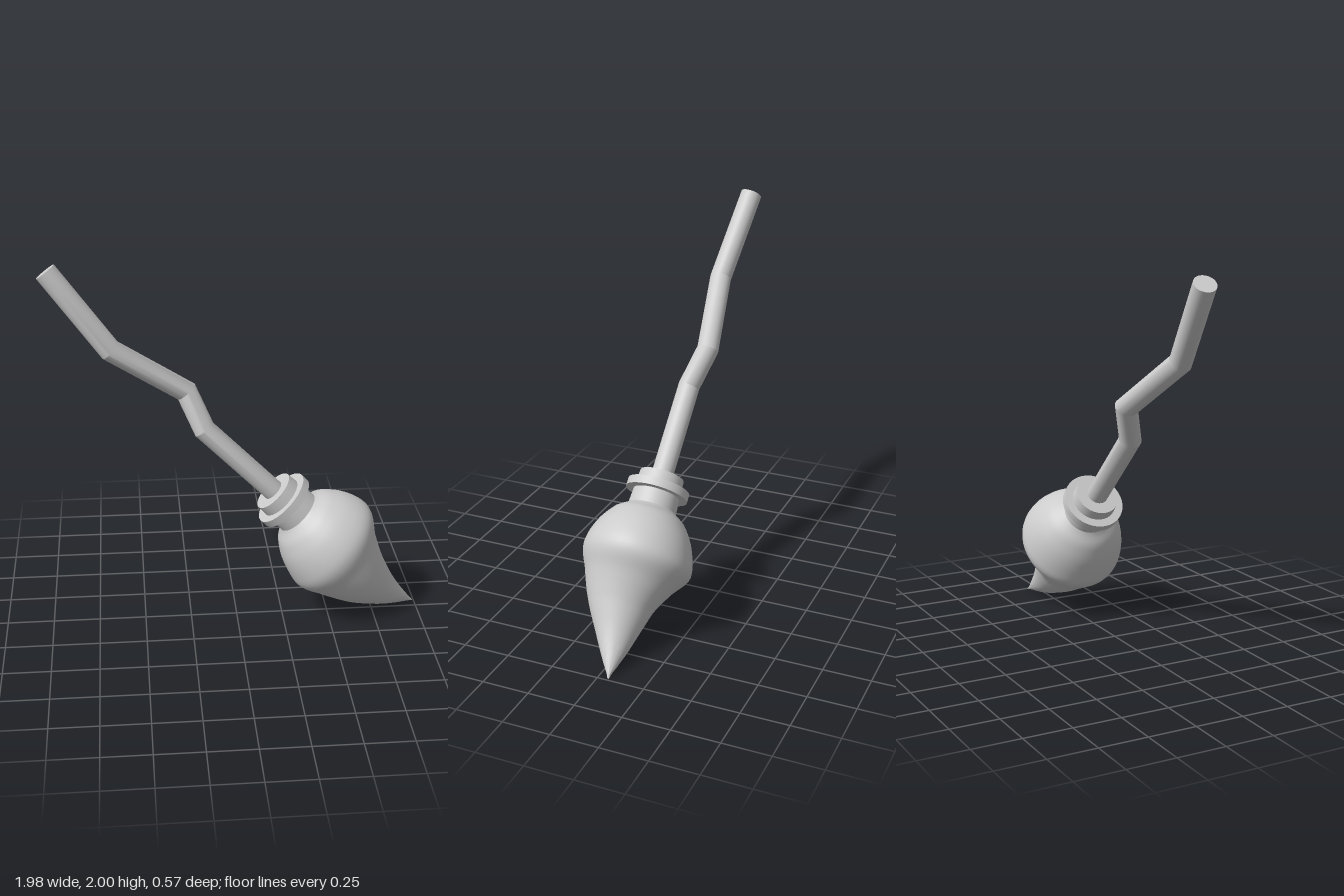
import * as THREE from 'three';
import { toCreasedNormals } from 'three/addons/utils/BufferGeometryUtils.js';

const V = (x, y, z) => new THREE.Vector3(x, y, z);
const material = new THREE.MeshStandardMaterial({ color: 0xcccccc });

// Skin a list of equal-sized rings and close both ends
function loft(rings) {
  const n = rings[0].length, pos = [], idx = [];
  rings.forEach(r => r.forEach(p => pos.push(p.x, p.y, p.z)));
  for (let i = 0; i < rings.length - 1; i++) {
    for (let j = 0; j < n; j++) {
      const k = (j + 1) % n, a = i * n, b = a + n;
      idx.push(a + j, a + k, b + k, a + j, b + k, b + j);
    }
  }
  const cap = (ring, base, flip) => {
    const c = ring.reduce((s, p) => s.add(p), V(0, 0, 0)).divideScalar(n);
    const m = pos.length / 3;
    pos.push(c.x, c.y, c.z);
    for (let j = 0; j < n; j++) {
      const k = (j + 1) % n;
      idx.push(m, base + (flip ? k : j), base + (flip ? j : k));
    }
  };
  cap(rings[0], 0, true);
  cap(rings[rings.length - 1], (rings.length - 1) * n, false);
  const g = new THREE.BufferGeometry();
  g.setAttribute('position', new THREE.Float32BufferAttribute(pos, 3));
  g.setIndex(idx);
  return g;
}

// Round rod along a bent path, mitred at each bend
function mitredRod(path, radius, sides) {
  const dirs = path.slice(1).map((p, i) => p.clone().sub(path[i]).normalize());
  const u = V(0, 0, 1).cross(dirs[0]).normalize();
  const v = dirs[0].clone().cross(u);
  let ring = Array.from({ length: sides }, (_, j) => {
    const a = j / sides * Math.PI * 2;
    return path[0].clone().addScaledVector(u, radius * Math.cos(a)).addScaledVector(v, radius * Math.sin(a));
  });
  const rings = [ring];
  for (let i = 1; i < path.length; i++) {
    const d = dirs[i - 1];
    const normal = d.clone().add(dirs[i] || d).normalize();
    ring = ring.map(p => {
      const t = path[i].clone().sub(p).dot(normal) / d.dot(normal);
      return p.clone().addScaledVector(d, t);
    });
    rings.push(ring);
  }
  return loft(rings);
}

// Swollen bundle with a swept tip: [along, offset x, offset z, radius]
function bristleGeometry() {
  const keys = [
    [0.18, 0, 0, 0.122], [0.23, 0, 0, 0.187], [0.31, 0, 0, 0.243], [0.41, 0.002, 0, 0.28],
    [0.485, 0.012, 0, 0.283], [0.57, 0.024, 0.018, 0.234], [0.68, 0.03, 0.03, 0.181],
    [0.76, 0.03, 0.022, 0.148], [0.85, 0.022, 0.004, 0.109], [0.93, 0.008, -0.014, 0.075],
    [1.01, -0.015, -0.034, 0.038], [1.085, -0.04, -0.055, 0.004]
  ];
  const centres = new THREE.CatmullRomCurve3(keys.map(k => V(k[1], k[0], k[2])));
  const radii = new THREE.SplineCurve(keys.map(k => new THREE.Vector2(k[3], k[0])));
  const rows = 44, sides = 48, rings = [];
  for (let i = 0; i <= rows; i++) {
    const c = centres.getPoint(i / rows), r = Math.max(radii.getPoint(i / rows).x, 0.003);
    rings.push(Array.from({ length: sides }, (_, j) => {
      const a = j / sides * Math.PI * 2;
      return V(c.x + r * Math.sin(a), c.y, c.z + r * Math.cos(a));
    }));
  }
  return loft(rings);
}

export function createModel() {
  const model = new THREE.Group();
  model.name = 'broom';
  const add = (parent, name, geometry) => {
    const mesh = new THREE.Mesh(geometry, material);
    mesh.name = name;
    parent.add(mesh);
    return mesh;
  };

  // Crooked handle
  const path = [V(-0.945, 1.965, -0.045), V(-0.64, 1.565, 0.012), V(-0.255, 1.295, -0.07),
    V(-0.168, 1.108, 0), V(0.265, 0.673, 0)];
  add(model, 'handle', toCreasedNormals(mitredRod(path, 0.057, 32), 0.35));

  // Head, built along its own y axis and tipped down to the right
  const head = new THREE.Group();
  head.name = 'head';
  head.position.set(0.195, 0.74, 0);
  head.rotation.z = -Math.PI * 0.75;
  model.add(head);

  // Binding: sleeve with a wider ring around it, [name, start, end, start radius, end radius]
  for (const [name, y0, y1, r0, r1] of [
    ['bindingSleeve', 0, 0.2, 0.117, 0.128],
    ['bindingRing', 0.06, 0.104, 0.164, 0.164]
  ]) {
    add(head, name, new THREE.CylinderGeometry(r1, r0, y1 - y0, 48)).position.y = (y0 + y1) / 2;
  }

  // Bristles
  add(head, 'bristles', toCreasedNormals(bristleGeometry(), 0.8));
  return model;
}
